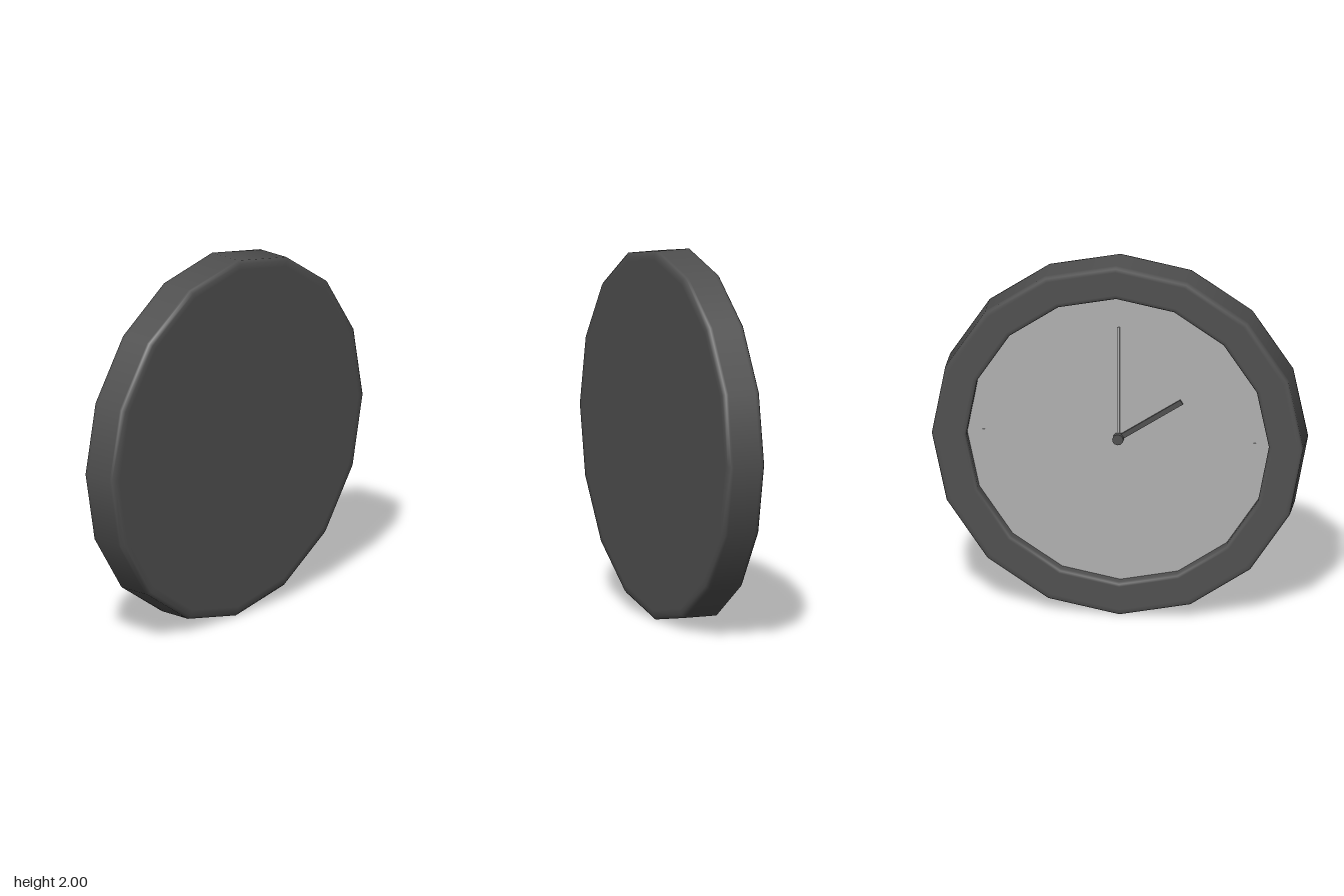
import * as THREE from 'three';

const SIDES = 16;
const DIAL_Z = -0.055; // the dial looks towards -z

export function createModel() {
  const clock = new THREE.Group();
  clock.name = 'wallClock';
  const frameGrey = new THREE.MeshStandardMaterial({ color: 0x505050 });
  frameGrey.name = 'frameGrey';
  const dialGrey = new THREE.MeshStandardMaterial({ color: 0xb0b0b0 });
  dialGrey.name = 'dialGrey';

  const add = (name, geometry, material, x = 0, y = 0, z = 0) => {
    const mesh = new THREE.Mesh(geometry, material);
    mesh.name = name;
    mesh.position.set(x, y, z);
    clock.add(mesh);
    return mesh;
  };

  // Revolve a [radius, z] profile about the z axis
  const turn = (profile, sides = SIDES) =>
    new THREE.LatheGeometry(profile.map(([r, z]) => new THREE.Vector2(r, z)), sides)
      .rotateX(Math.PI / 2)
      .rotateZ(-0.01);

  // Housing: recess wall, rim, side and closed front, with softened edges
  add('housing', turn([
    [0.815, DIAL_Z], [0.815, -0.095], [0.825, -0.105], [0.84, -0.105],
    [0.97, -0.105], [0.99, -0.105], [1, -0.097], [1, -0.08],
    [1, 0.075], [1, 0.09], [0.983, 0.105], [0.95, 0.105], [0, 0.105],
  ]), frameGrey);

  // Recessed dial
  add('dial', turn([[0, DIAL_Z], [0.815, DIAL_Z]]), dialGrey);

  // Hub
  add('hub', new THREE.CylinderGeometry(0.03, 0.03, 0.035, 12).rotateX(Math.PI / 2),
    frameGrey, 0, 0, DIAL_Z - 0.0175);

  // Hands, pivoting at the hub
  const hand = (name, length, width, depth, angle, material) => {
    const geometry = new THREE.BoxGeometry(width, length, depth).translate(0, length / 2, 0);
    add(name, geometry, material, 0, 0, DIAL_Z - depth / 2 - 0.004).rotation.z = angle;
  };
  hand('hourHand', 0.41, 0.028, 0.012, 0.98, frameGrey);
  hand('minuteHand', 0.64, 0.014, 0.006, 0, dialGrey);

  // Pale quarter-hour markers, almost flush with the dial
  for (let i = 0; i < 4; i++) {
    const a = i * Math.PI / 2;
    add('hourMarker', new THREE.BoxGeometry(0.02, 0.06, 0.002), dialGrey,
      Math.sin(a) * 0.72, Math.cos(a) * 0.72, DIAL_Z - 0.001).rotation.z = -a;
  }

  clock.children.forEach((part) => { part.position.y += 1; });
  return clock;
}
